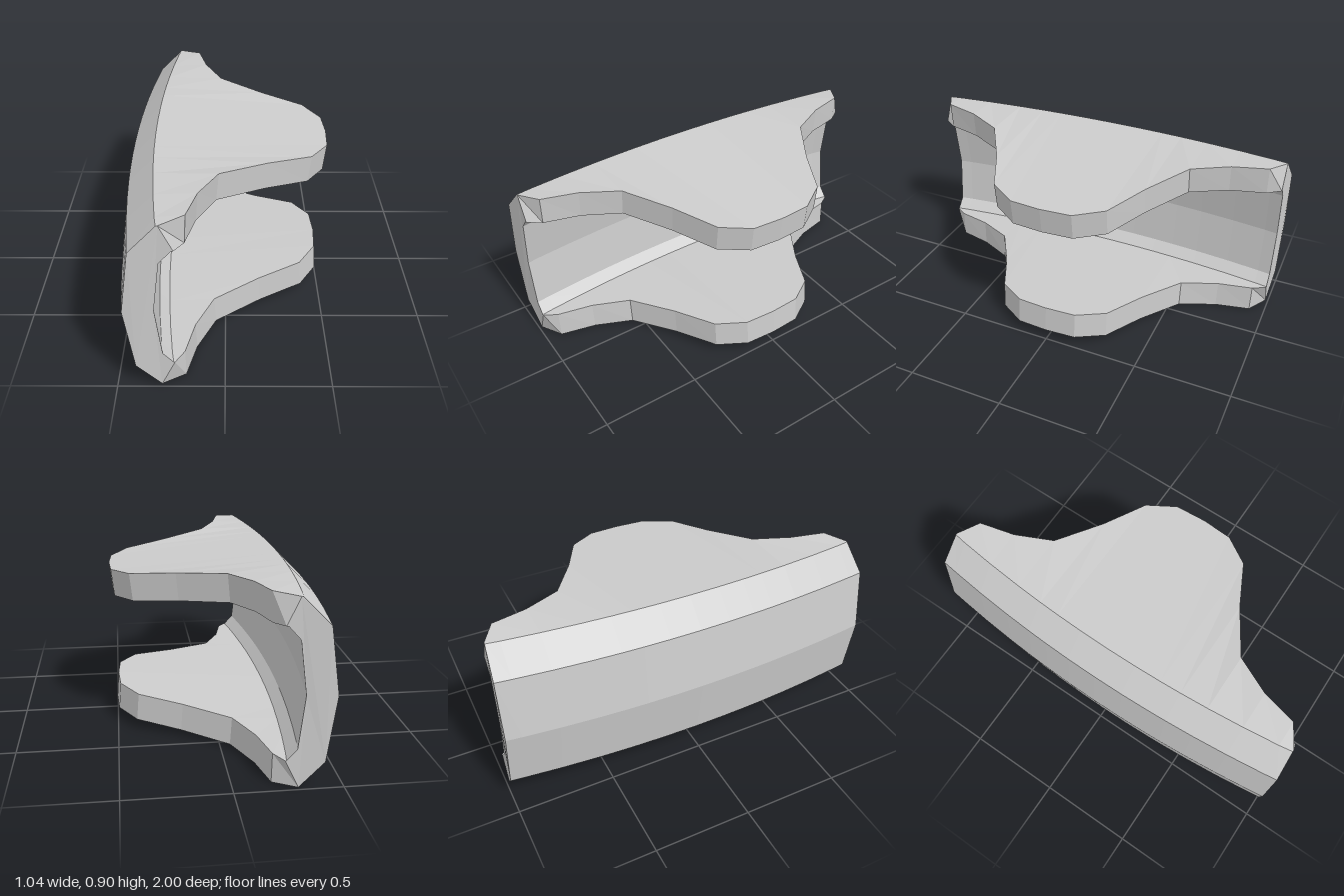
import * as THREE from 'three';

// Half outline of the jaws: [z, reach of the upper jaw at its outer edge, at its inner edge]
const HALF = [
  [0, 0.52, 0.505], [0.16, 0.51, 0.495], [0.3, 0.42, 0.405], [0.41, 0.2, 0.187],
  [0.555, -0.03, -0.043], [0.74, -0.12, -0.13], [0.92, -0.165, -0.172], [1, -0.275, -0.215],
];

// Closed C-shaped cross-section at one z, counter-clockwise seen from the front
function section([z, reach, reachIn]) {
  const bow = 0.068 * (z * z - 1); // the spine bulges outward at mid-length
  const end = Math.abs(z) === 1;
  const zi = end ? z * 0.987 : z; // inner corners of the end faces are set back slightly
  const low = reach - 0.018, lowIn = reachIn - 0.014;
  const topY = end ? 0.89 : 0.9 - 0.112 * (reach + 0.165);
  const bottomY = end ? 0.004 : 0.092 * (low + 0.183);
  return [
    [reach, topY, zi], // upper jaw tip
    [-0.283 + bow, 0.888, zi],
    [-0.408 + bow, 0.762, z], // spine, outside
    [-0.452 + bow, 0.445, z],
    [-0.408 + bow, 0.13, z],
    [-0.288 + bow, 0.005, zi],
    [low, bottomY, zi], // lower jaw tip
    [lowIn, 0.14 + 0.088 * (lowIn + 0.23), zi],
    [-0.235 + bow, 0.14, zi],
    [-0.283 + bow, 0.193, zi], // spine, inside
    [-0.312 + bow, 0.445, zi],
    [-0.28 + bow, 0.7, zi],
    [-0.225 + bow, 0.762, zi],
    [reachIn, 0.764 - 0.109 * (reachIn + 0.22), zi],
  ];
}

export function createModel() {
  const back = HALF.slice(1).reverse().map(([z, a, b]) => [-z, a, b]);
  const rings = [...back, ...HALF].map(section);
  const n = rings[0].length;
  const index = [];

  // Walls between neighbouring sections
  for (let k = 0; k < rings.length - 1; k++) {
    for (let i = 0; i < n; i++) {
      const j = (i + 1) % n;
      const a = k * n + i, b = k * n + j, c = b + n, d = a + n;
      index.push(a, b, c, a, c, d);
    }
  }

  // End faces
  const last = (rings.length - 1) * n;
  const outline = rings[rings.length - 1].map(([x, y]) => new THREE.Vector2(x, y));
  for (const [a, b, c] of THREE.ShapeUtils.triangulateShape(outline, [])) {
    index.push(last + a, last + b, last + c, a, c, b);
  }

  const geometry = new THREE.BufferGeometry();
  geometry.setAttribute('position', new THREE.Float32BufferAttribute(rings.flat(2), 3));
  geometry.setIndex(index);
  const faceted = geometry.toNonIndexed();
  faceted.computeVertexNormals();

  const clip = new THREE.Mesh(
    faceted,
    new THREE.MeshStandardMaterial({ color: 0xcccccc, flatShading: true }),
  );
  clip.name = 'clipWithJaws';
  const group = new THREE.Group();
  group.name = 'clip';
  group.add(clip);
  return group;
}
